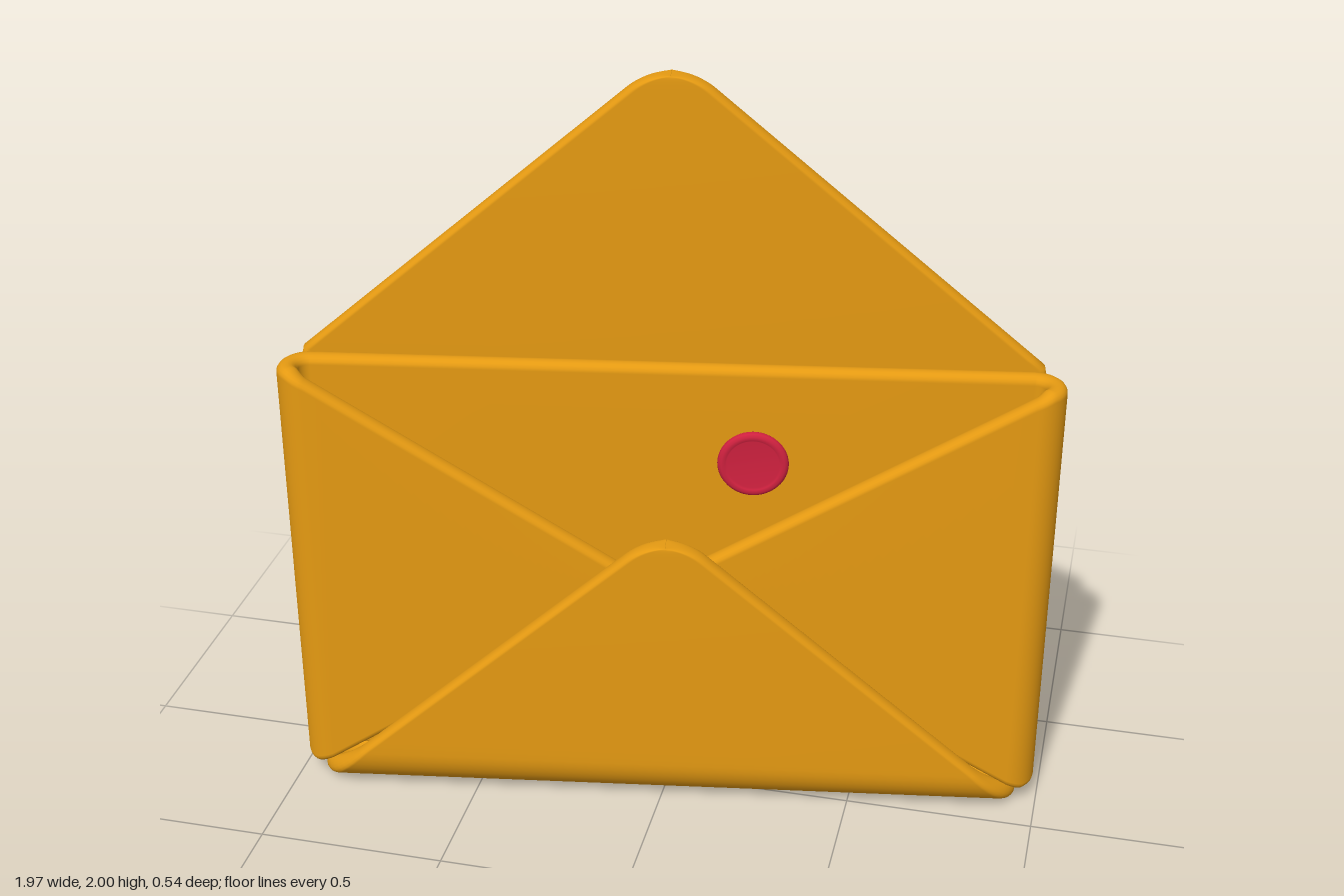
import * as THREE from 'three';

const T = 0.052;      // sheet thickness
const EDGE = 0.022;   // rounding of the sheet edges

// Half width of a flap at distance d from its rounded tip (m = run per unit of half width)
function taper(d, m, R, max) {
  if (d <= 0) return 0.0005;
  const cos = 1 / Math.sqrt(1 + m * m);
  const h = d < R * (1 - cos)
    ? Math.sqrt(2 * R * d - d * d)
    : (d + R * (1 / cos - 1)) / m;
  return Math.min(h, max);
}

// Path stations: p along the sheet, q the depth, (np, nq) the outward normal, h the half width
function line(p0, p1, q, half, ease = (t) => t, n = 40) {
  return Array.from({ length: n + 1 }, (_, i) => {
    const p = p0 + (p1 - p0) * ease(i / n);
    return { p, q, np: 0, nq: Math.sign(q), h: half(p, q) };
  });
}
function arc(c, r, a0, a1, half, n = 20) {
  return Array.from({ length: n - 1 }, (_, i) => {
    const a = THREE.MathUtils.degToRad(a0 + (a1 - a0) * (i + 1) / n);
    const np = Math.cos(a), nq = Math.sin(a);
    const p = c + r * np, q = r * nq;
    return { p, q, np, nq, h: half(p, q) };
  });
}

// Folded sheet: rounded-rectangle cross-sections swept along the stations
function sheet(stations, place) {
  const pos = [], index = [], K = 5, loop = 4 * K;
  for (const s of stations) {
    const rv = Math.min(EDGE, s.h);
    for (let k = 0; k < loop; k++) {
      const corner = Math.floor(k / K);
      const a = (corner + (k % K) / (K - 1)) * Math.PI / 2;
      const sv = corner === 0 || corner === 3 ? 1 : -1;
      const sn = corner < 2 ? 1 : -1;
      const v = sv * (s.h - rv) + rv * Math.cos(a);
      const n = sn * (T / 2 - EDGE) + EDGE * Math.sin(a);
      pos.push(...place(s.p + s.np * n, v, s.q + s.nq * n));
    }
  }
  for (let i = 0; i < stations.length - 1; i++) {
    for (let k = 0; k < loop; k++) {
      const a = i * loop + k, b = i * loop + (k + 1) % loop;
      index.push(a, b, a + loop, b, b + loop, a + loop);
    }
  }
  const g = new THREE.BufferGeometry();
  g.setAttribute('position', new THREE.Float32BufferAttribute(pos, 3));
  g.setIndex(index);
  g.computeVertexNormals();
  return g;
}

export function createModel() {
  const model = new THREE.Group();
  model.name = 'envelope';
  const paper = new THREE.MeshStandardMaterial({ color: 0xe59a12, side: THREE.DoubleSide });
  const red = new THREE.MeshStandardMaterial({ color: 0xd0213f });
  const add = (name, geometry, material) => {
    const mesh = new THREE.Mesh(geometry, material);
    mesh.name = name;
    model.add(mesh);
    return mesh;
  };
  const fromTip = (t) => t * t;
  const toTip = (t) => 1 - (1 - t) * (1 - t);

  // Outer sheet: bottom flap, fold along the base, back panel and raised top flap
  const W = 0.955, rOut = 0.106, yFold = rOut + T / 2;
  const bottomFlap = (y) => taper(0.81 - y, 0.88, 0.166, W);
  const topFlap = (y) => taper(2 - y, 0.85, 0.17, W);
  add('backAndFlaps', sheet([
    ...line(0.81, yFold, rOut, bottomFlap, fromTip),
    ...arc(yFold, rOut, 90, 270, (y, q) => (q > 0 ? bottomFlap(y) : W)),
    ...line(yFold, 1.2, -rOut, topFlap, undefined, 4),
    ...line(1.22, 2, -rOut, topFlap, toTip, 60),
  ], (p, v, q) => [v, p, q]), paper);

  // Inner sheet: right flap, inner wall and left flap, wrapped around both sides
  const H = 0.6025, yMid = 0.6475, rIn = 0.053, xFold = 0.92;
  const plusFlap = (x, q) => (q > 0 ? taper(x - 0.012, 1.667, 0.07, H) : H);
  const minusFlap = (x, q) => (q > 0 ? taper(-0.08 - x, 1.55, 0.07, H) : H);
  add('sideFlaps', sheet([
    ...line(0.012, xFold, rIn, plusFlap, fromTip),
    ...arc(xFold, rIn, 90, -90, plusFlap),
    ...line(xFold, -xFold, -rIn, () => H, undefined, 4),
    ...arc(-xFold, rIn, 270, 90, minusFlap),
    ...line(-xFold, -0.08, rIn, minusFlap, toTip),
  ], (p, v, q) => [p, yMid + v, q]), paper);

  // Round badge with a raised rim
  const profile = [
    [0, -0.011], [0.08, -0.011], [0.087, -0.007], [0.09, 0], [0.087, 0.007],
    [0.08, 0.011], [0.07, 0.011], [0.066, 0.006], [0, 0.006],
  ].map(([r, y]) => new THREE.Vector2(r, y));
  const badge = add('badge', new THREE.LatheGeometry(profile, 48), red);
  badge.rotation.x = Math.PI / 2;
  badge.position.set(0.22, 1.055, 0.108);

  // The whole envelope is turned slightly
  model.rotation.y = 0.163;
  const root = new THREE.Group();
  root.add(model);
  return root;
}
